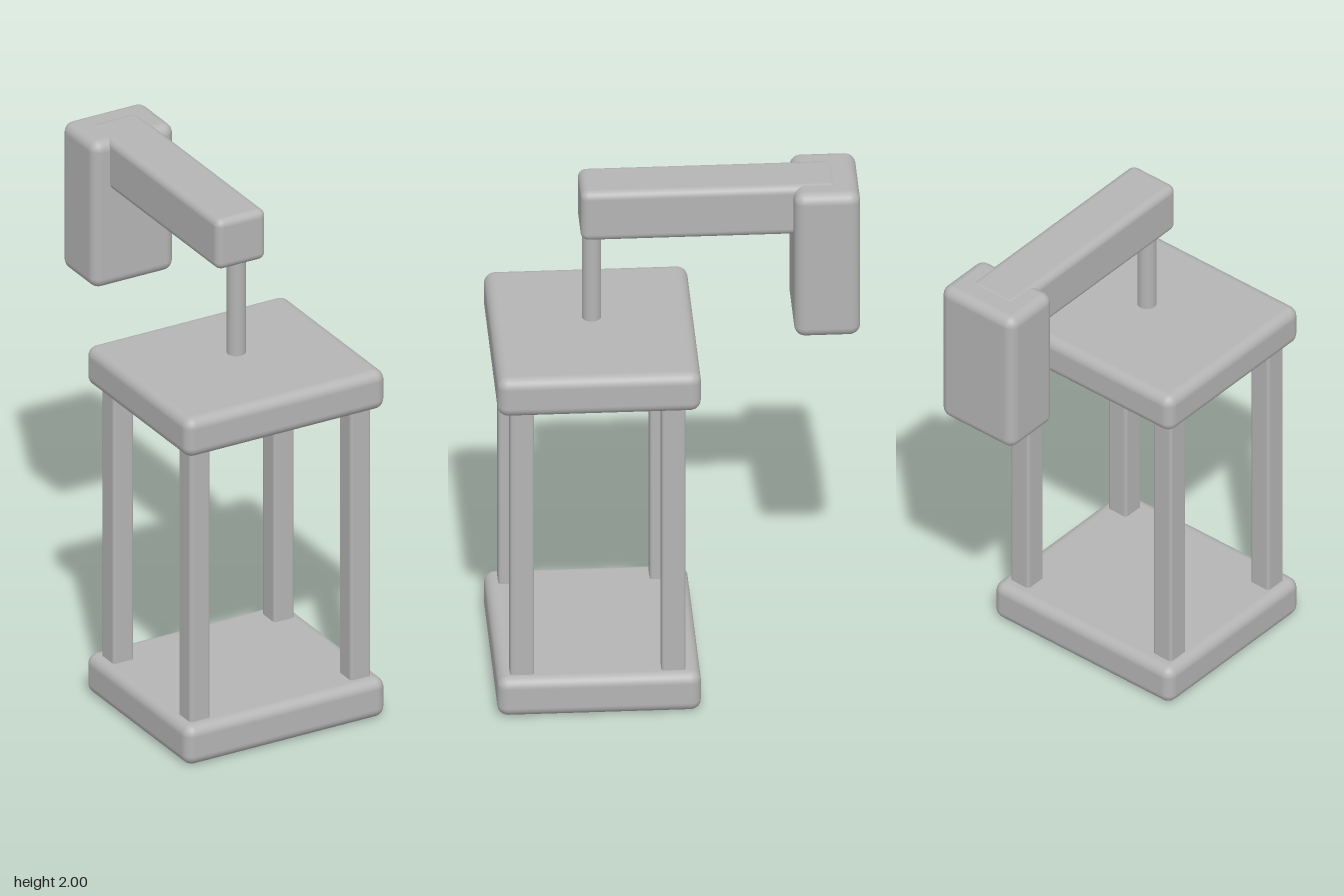
import * as THREE from 'three';
import { RoundedBoxGeometry } from 'three/addons/geometries/RoundedBoxGeometry.js';

export function createModel() {
  const group = new THREE.Group();
  const grey = new THREE.MeshStandardMaterial({ color: 0xb4b4b4 });
  grey.name = 'plain grey';

  const add = (name, geometry, x, y, z) => {
    const mesh = new THREE.Mesh(geometry, grey);
    mesh.name = name;
    mesh.position.set(x, y, z);
    group.add(mesh);
    return mesh;
  };
  // Rounded block given by its width and its y and z limits
  const block = (name, x, w, y0, y1, z0, z1, radius) =>
    add(name, new RoundedBoxGeometry(w, y1 - y0, z1 - z0, 4, radius),
      x, (y0 + y1) / 2, (z0 + z1) / 2);

  // Bottom shelf and table top
  block('baseShelf', 0, 0.84, 0.005, 0.163, -0.073, 0.667, 0.04);
  block('tableTop', 0, 0.84, 1.25, 1.407, -0.073, 0.667, 0.04);

  // Four square posts, running into both slabs
  for (const side of [-1, 1]) {
    for (const z of [0.026, 0.576]) {
      block(side > 0 ? 'leftPost' : 'rightPost', side * 0.337, 0.086,
        0.1, 1.31, z - 0.044, z + 0.044, 0.012);
    }
  }

  // Rear housing and the arm reaching over the table
  block('rearHousing', 0, 0.344, 1.405, 1.997, -0.667, -0.427, 0.04);
  block('arm', 0, 0.208, 1.797, 2, -0.59, 0.345, 0.03);

  // Thin spindle hanging from the arm
  add('spindle', new THREE.CylinderGeometry(0.035, 0.035, 0.4, 32), 0, 1.63, 0.3);

  return group;
}
